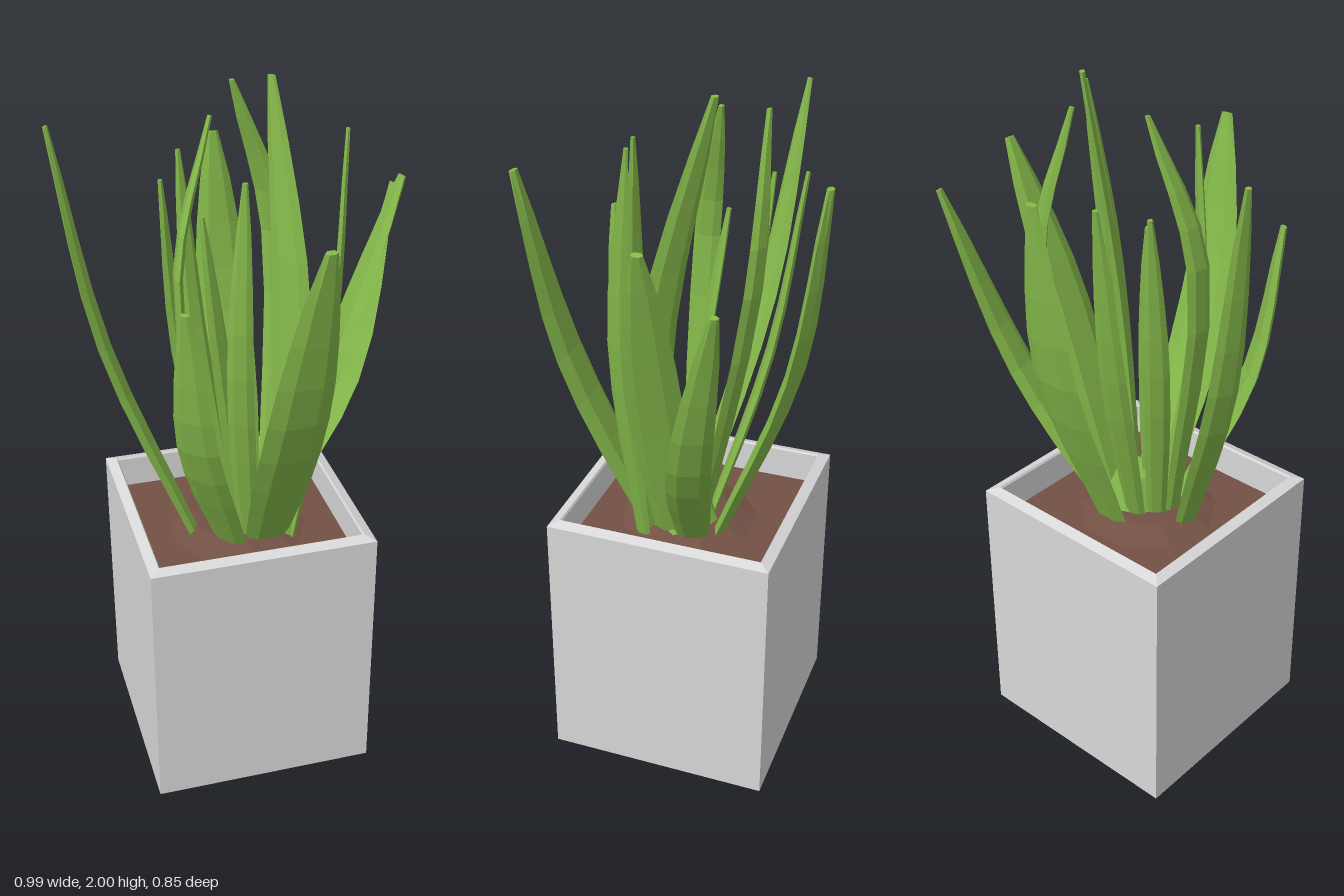
import * as THREE from 'three';

// Blunt tapering leaf: a flattened six-sided section swept from the soil through mid to tip
function leafGeometry(base, mid, tip, width) {
  const curve = new THREE.CatmullRomCurve3([base, mid, tip]);
  const lean = mid.clone().sub(base).setY(0).normalize();
  const across = new THREE.Vector3(lean.z, 0, -lean.x);
  const thick = 0.012 + width * 0.18;
  const sides = 6;
  const taper = [0.72, 0.86, 0.97, 1, 0.98, 0.9, 0.74, 0.52, 0.2];
  const steps = taper.length - 1;
  const pos = [], index = [];
  taper.forEach((s, i) => {
    const c = curve.getPoint(i / steps);
    const normal = new THREE.Vector3().crossVectors(curve.getTangent(i / steps), across).normalize();
    for (let j = 0; j < sides; j++) {
      const a = (j / sides) * Math.PI * 2;
      const p = c.clone()
        .addScaledVector(across, Math.cos(a) * width * 0.5 * s)
        .addScaledVector(normal, Math.sin(a) * thick * 0.5 * (0.35 + 0.65 * s));
      pos.push(p.x, p.y, p.z);
    }
  });
  for (let i = 0; i < steps; i++) {
    for (let j = 0; j < sides; j++) {
      const a = i * sides + j, b = i * sides + (j + 1) % sides;
      index.push(a, b, a + sides, b, b + sides, a + sides);
    }
  }
  // Tip cap
  const e = steps * sides;
  for (let j = 1; j < sides - 1; j++) index.push(e, e + j, e + j + 1);
  const g = new THREE.BufferGeometry();
  g.setAttribute('position', new THREE.Float32BufferAttribute(pos, 3));
  g.setIndex(index);
  const flat = g.toNonIndexed();
  flat.computeVertexNormals();
  return flat;
}

export function createModel() {
  const model = new THREE.Group();
  const material = (name, color) => {
    const m = new THREE.MeshStandardMaterial({ color, flatShading: true });
    m.name = name;
    return m;
  };
  const grey = material('pot grey', 0xd8d8d8);
  const brown = material('soil brown', 0x735145);
  const green = material('leaf green', 0x84b84a);
  const add = (name, geo, mat, parent = model) => {
    const m = new THREE.Mesh(geo, mat);
    m.name = name;
    parent.add(m);
    return m;
  };
  const cx = -0.0425, cz = -0.0525;

  // Square pot with a rim sloping outwards
  const profile = [[0, 0], [0.3225, 0], [0.3225, 0.787], [0.294, 0.798], [0.29, 0.792], [0.29, 0.66]]
    .map(([r, y]) => new THREE.Vector2(r * Math.SQRT2, y));
  const pot = new THREE.LatheGeometry(profile, 4, Math.PI / 4).toNonIndexed();
  pot.computeVertexNormals();
  add('pot', pot, grey).position.set(cx, 0, cz);

  // Soil with a low mound around the stems
  add('soil', new THREE.BoxGeometry(0.582, 0.04, 0.582), brown).position.set(cx, 0.68, cz);
  add('soilMound', new THREE.CylinderGeometry(0.12, 0.21, 0.03, 9), brown).position.set(-0.04, 0.712, -0.04);

  const plant = new THREE.Group();
  plant.name = 'plant';
  model.add(plant);

  // Leaves: base x z, middle x y z, tip x y z, width
  const leaves = {
    leftLeaf: [-0.17, -0.03, -0.385, 1.28, -0.15, -0.493, 1.89, -0.222, 0.085],
    rightBackLeaf: [0.07, -0.09, 0.33, 1.09, -0.165, 0.487, 1.62, -0.28, 0.12],
    rightLeaf: [0.07, -0.04, 0.255, 1.25, -0.04, 0.43, 1.72, -0.07, 0.165],
    backLeaf: [0, -0.15, 0.005, 1.25, -0.35, -0.005, 1.77, -0.415, 0.165],
    frontLeaf: [0.02, 0.05, 0.035, 1.22, 0.295, 0.07, 1.74, 0.415, 0.175],
    frontLeftLeaf: [-0.08, 0.05, -0.21, 1.12, 0.2, -0.25, 1.55, 0.262, 0.13],
    tallLeaf: [0.07, 0.04, 0.107, 1.38, 0, 0.085, 2, -0.14, 0.115],
    innerRightLeaf: [0.1, 0.05, 0.195, 1.35, 0.08, 0.237, 1.9, 0.03, 0.07],
    curledBackLeaf: [0.07, -0.1, 0.135, 1.52, -0.265, 0.01, 1.96, -0.255, 0.08],
    curledLeftLeaf: [-0.11, -0.02, -0.2, 1.52, -0.03, -0.09, 1.92, -0.1, 0.08],
    innerFrontLeaf: [-0.03, 0.04, -0.075, 1.28, 0.13, -0.06, 1.82, 0.13, 0.075],
    innerBackLeaf: [-0.05, -0.1, -0.105, 1.25, -0.25, -0.125, 1.76, -0.325, 0.075],
    backLeftLeaf: [-0.09, -0.06, -0.175, 1.25, -0.16, -0.2, 1.72, -0.215, 0.07],
    centreLeaf: [-0.03, 0, -0.075, 1.2, -0.06, -0.11, 1.64, -0.12, 0.08],
  };
  for (const [name, [bx, bz, mx, my, mz, tx, ty, tz, width]] of Object.entries(leaves)) {
    const base = new THREE.Vector3(bx, 0.7, bz);
    const mid = new THREE.Vector3(mx, my, mz);
    const tip = new THREE.Vector3(tx, ty, tz);
    add(name, leafGeometry(base, mid, tip, width), green, plant);
  }

  // Crown where the leaves join
  add('crown', new THREE.CylinderGeometry(0.06, 0.11, 0.12, 8), green, plant).position.set(0, 0.76, -0.04);
  return model;
}
